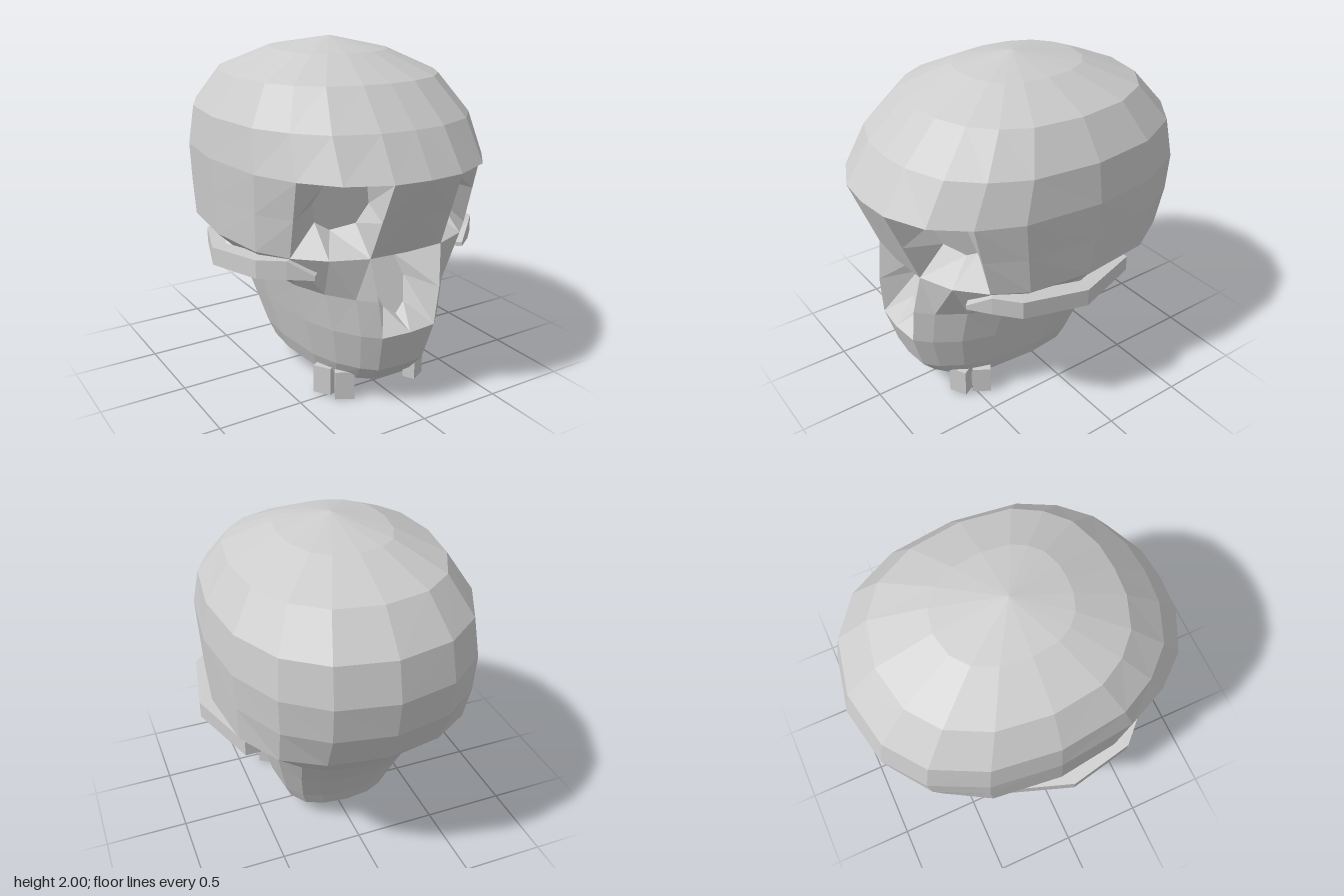
import * as THREE from 'three';

// Half outline of the widest ring, front to back: [x, z] as fractions of the ring
const COLS = [[0, 1], [0.275, 0.98], [0.585, 0.87], [0.79, 0.68], [0.935, 0.43],
  [1, -0.03], [0.935, -0.44], [0.74, -0.75], [0.44, -0.93], [0, -1]];

// Rings: y, half width, front z, back z, middle z, half width of the central
// front face, roundness of the back (below 1 is boxier)
const ROWS = [
  [2, 0, 0, 0, 0, 0, 1],
  [1.93, 0.32, 0.33, -0.42, 0, 0.09, 1],
  [1.8, 0.6, 0.62, -0.75, 0, 0.165, 1],
  [1.59, 0.74, 0.84, -0.94, 0, 0.2, 1],
  [1.36, 0.77, 0.99, -0.99, 0, 0.215, 1],
  [1.14, 0.76, 0.9, -0.96, 0.03, 0.225, 0.92],
  [0.92, 0.75, 0.81, -0.86, 0.06, 0.235, 0.8],
  [0.68, 0.5, 0.85, -0.63, 0.05, 0.205, 0.7],
  [0.46, 0.445, 0.85, -0.46, 0.1, 0.175, 0.62],
  [0.23, 0.385, 0.78, -0.33, 0.13, 0.15, 0.58],
  [0.13, 0.345, 0.69, -0.29, 0.15, 0.13, 0.58],
  [0.13, 0, 0.2, 0.2, 0.2, 0, 1],
];

function ringPoint(r, c) {
  const [y, w, front, back, mid, face, round] = ROWS[r];
  const [u, v] = COLS[c];
  const z = v > 0 ? mid + v * (front - mid) : mid + Math.pow(-v, round) * (back - mid);
  return [c === 1 ? face : u * w, y, z];
}

// Collects faces of the left half and mirrors each one to the right
class MirroredFaces {
  constructor() { this.pos = []; }
  tri(a, b, c) {
    const [p, q, r] = [a, b, c].map((k) => new THREE.Vector3(...k));
    if (q.sub(p).cross(r.sub(p)).length() < 1e-7) return;
    this.pos.push(...a, ...b, ...c);
    for (const [x, y, z] of [a, c, b]) this.pos.push(-x, y, z);
  }
  quad(a, b, c, d) { this.tri(a, b, c); this.tri(a, c, d); }
  // Walls from an opening in to a smaller floor, then the floor itself
  socket(outer, inner, centre, closed) {
    const n = outer.length;
    for (let i = 0; i < (closed ? n : n - 1); i++) {
      const j = (i + 1) % n;
      this.quad(outer[i], outer[j], inner[j], inner[i]);
      this.tri(centre, inner[i], inner[j]);
    }
  }
  mesh(name, material) {
    const g = new THREE.BufferGeometry();
    g.setAttribute('position', new THREE.Float32BufferAttribute(this.pos, 3));
    g.computeVertexNormals();
    const m = new THREE.Mesh(g, material);
    m.name = name;
    return m;
  }
}

export function createModel() {
  const bone = new THREE.MeshStandardMaterial({ color: 0xcccccc, flatShading: true });
  bone.name = 'bone grey';
  const group = new THREE.Group();
  group.name = 'skull';

  // Cranium and upper jaw, with openings for eyes and nose
  const shell = new MirroredFaces();
  for (let r = 0; r < ROWS.length - 1; r++) {
    for (let c = 0; c < COLS.length - 1; c++) {
      const eye = (r === 4 || r === 5) && (c === 1 || c === 2);
      const nose = (r === 6 || r === 7) && c === 0;
      if (eye || nose) continue;
      shell.quad(ringPoint(r, c), ringPoint(r + 1, c), ringPoint(r + 1, c + 1), ringPoint(r, c + 1));
    }
  }
  group.add(shell.mesh('cranium', bone));

  // Eye sockets
  const eyes = new MirroredFaces();
  const rim = [[4, 1], [5, 1], [6, 1], [6, 2], [6, 3], [5, 3], [4, 3], [4, 2]];
  const floor = [[0.21, 1.31], [0.18, 1.19], [0.22, 1.07], [0.34, 1.03],
    [0.42, 1.08], [0.45, 1.19], [0.41, 1.31], [0.31, 1.355]];
  const eyeFloor = (x, y) => [x, y, 0.7 - 0.5 * (x - 0.2) + 0.35 * (y - 1.25)];
  eyes.socket(rim.map((k) => ringPoint(...k)), floor.map((k) => eyeFloor(...k)), eyeFloor(0.31, 1.19), true);
  group.add(eyes.mesh('eyeSockets', bone));

  // Nose cavity, its floor leaning back
  const nose = new MirroredFaces();
  const noseRim = [[8, 0], [8, 1], [7, 1], [6, 1], [6, 0]];
  const noseFloor = [[0, 0.52], [0.07, 0.57], [0.115, 0.7], [0.08, 0.82], [0, 0.835]];
  const noseDepth = (x, y) => [x, y, 0.71 - 0.5 * (y - 0.52)];
  nose.socket(noseRim.map((k) => ringPoint(...k)), noseFloor.map((k) => noseDepth(...k)), noseDepth(0, 0.69), false);
  group.add(nose.mesh('noseCavity', bone));

  // Cheekbone arches: outer x, z, inner x, z, top, bottom
  const arch = new MirroredFaces();
  const sections = [
    [0.5, 0.67, 0.45, 0.62, 0.835, 0.81],
    [0.62, 0.58, 0.52, 0.52, 0.915, 0.81],
    [0.74, 0.46, 0.65, 0.41, 0.905, 0.8],
    [0.815, 0.07, 0.72, 0.05, 0.87, 0.765],
    [0.66, -0.36, 0.57, -0.36, 0.84, 0.745],
  ].map(([ox, oz, ix, iz, t, b]) => [[ox, t, oz], [ox, b, oz], [ix, b, iz], [ix, t, iz]]);
  for (let i = 0; i < sections.length - 1; i++) {
    const [p, q] = [sections[i], sections[i + 1]];
    for (let k = 0; k < 4; k++) {
      const n = (k + 1) % 4;
      arch.quad(p[k], p[n], q[n], q[k]);
    }
  }
  arch.quad(...[...sections[0]].reverse());
  arch.quad(...sections[sections.length - 1]);
  group.add(arch.mesh('cheekbones', bone));

  // Two upper teeth on each side
  for (const side of [1, -1]) {
    for (const [x, z, turn] of [[0.245, 0.565, 0.5], [0.31, 0.455, 1]]) {
      const tooth = new THREE.Mesh(new THREE.BoxGeometry(0.11, 0.17, 0.075), bone);
      tooth.position.set(side * x, 0.085, z);
      tooth.rotation.y = side * turn;
      tooth.name = 'tooth';
      group.add(tooth);
    }
  }
  return group;
}
